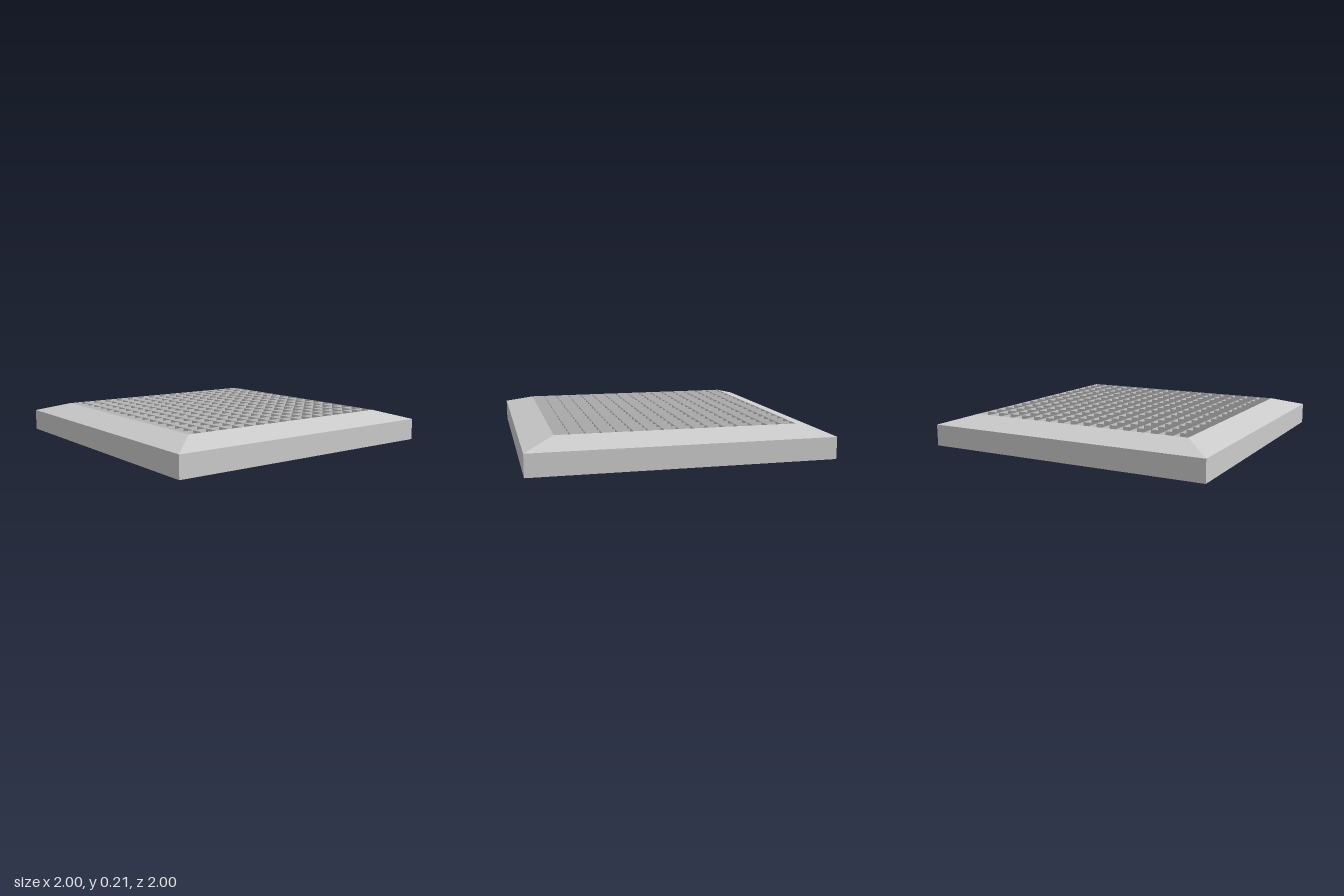
import * as THREE from 'three';

const OUTER = 1, INNER = 0.8, RIM = 0.147, TOP = 0.207, FLOOR = 0.02, CELLS = 16;

export function createModel() {
  const group = new THREE.Group();
  const material = new THREE.MeshStandardMaterial({ color: 0xcccccc, flatShading: true });
  const thin = new THREE.MeshStandardMaterial({ color: 0xcccccc, side: THREE.DoubleSide });

  // Square tray: half-section swept round four sides (base, side, sloped rim, recess, floor)
  const profile = [
    [0, 0], [OUTER, 0], [OUTER, RIM], [INNER, TOP], [INNER, FLOOR], [0, FLOOR],
  ].map(([r, y]) => new THREE.Vector2(r * Math.SQRT2, y));
  const trayGeometry = new THREE.LatheGeometry(profile, 4, Math.PI / 4).toNonIndexed();
  trayGeometry.computeVertexNormals();
  const tray = new THREE.Mesh(trayGeometry, material);
  tray.name = 'frameTray';
  group.add(tray);

  // Egg-crate grille of thin crossing blades inside the recess
  const grille = new THREE.Group();
  grille.name = 'grille';
  const blade = new THREE.PlaneGeometry(2 * INNER, TOP - FLOOR);
  for (let i = 1; i < CELLS; i++) {
    const offset = -INNER + (2 * INNER * i) / CELLS;
    const cross = new THREE.Mesh(blade, thin);
    cross.name = 'crossBlade';
    cross.position.set(0, (TOP + FLOOR) / 2, offset);
    const long = new THREE.Mesh(blade, thin);
    long.name = 'lengthBlade';
    long.rotation.y = Math.PI / 2;
    long.position.set(offset, (TOP + FLOOR) / 2, 0);
    grille.add(cross, long);
  }
  group.add(grille);
  return group;
}
